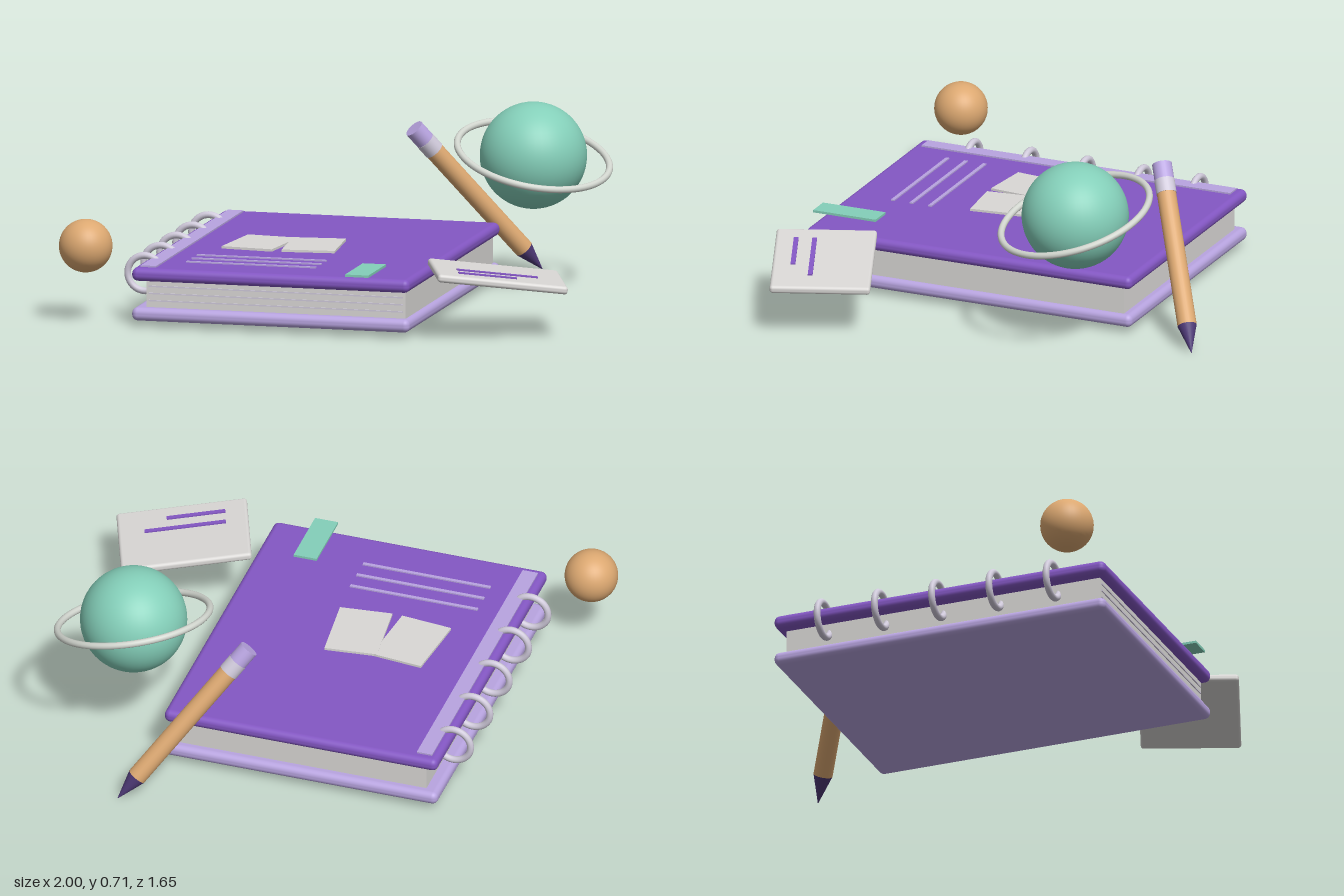
import * as THREE from 'three';
import { RoundedBoxGeometry } from 'three/addons/geometries/RoundedBoxGeometry.js';

const mat = (name, color) => {
  const m = new THREE.MeshStandardMaterial({ color });
  m.name = name;
  return m;
};

export function createModel() {
  const purple = mat('purple', 0x8457c4);
  const lilac = mat('lilac', 0xb8a4e0);
  const paper = mat('paper', 0xdad8d6);
  const teal = mat('teal', 0x84cfb9);
  const orange = mat('orange', 0xdca871);
  const darkViolet = mat('darkViolet', 0x4f3a78);
  const silver = mat('silver', 0xcfc9da);
  const paleGreen = mat('paleGreen', 0xd2d6cf);

  const add = (parent, name, geometry, material, x = 0, y = 0, z = 0) => {
    const mesh = new THREE.Mesh(geometry, material);
    mesh.name = name;
    mesh.position.set(x, y, z);
    parent.add(mesh);
    return mesh;
  };
  const group = (parent, name, x, y, z) => {
    const g = new THREE.Group();
    g.name = name;
    g.position.set(x, y, z);
    parent.add(g);
    return g;
  };
  const box = (w, h, d) => new THREE.BoxGeometry(w, h, d);
  const slab = (w, h, d, r) => new RoundedBoxGeometry(w, h, d, 4, r);

  const model = new THREE.Group();
  model.name = 'stationerySet';

  // Notebook: two covers around a block of pages
  const book = group(model, 'notebook', -0.08, 0, 0);
  book.rotation.y = -THREE.MathUtils.degToRad(10);
  add(book, 'backCover', slab(1.07, 0.05, 1.33, 0.022), lilac, 0, 0.05, 0);
  add(book, 'frontCover', slab(1.07, 0.05, 1.33, 0.022), purple, 0, 0.2, 0);
  add(book, 'pages', box(1.0, 0.11, 1.26), paper, 0.015, 0.125, 0);
  for (const y of [0.1, 0.127, 0.154]) {
    add(book, 'pageEdge', box(0.98, 0.005, 0.006), silver, 0.015, y, 0.631);
  }

  // Binding strip and rings
  add(book, 'bindingStrip', box(0.06, 0.008, 1.26), lilac, -0.477, 0.227, 0);
  for (let i = 0; i < 5; i++) {
    add(book, 'bindingRing', new THREE.TorusGeometry(0.067, 0.013, 12, 40), silver, -0.535, 0.172, -0.46 + 0.23 * i);
  }

  // Cover decoration: open leaves, ruled lines, bookmark
  for (const s of [-1, 1]) {
    const leaf = add(book, 'coverLeaf', box(0.2, 0.009, 0.275), paper, -0.098 + s * 0.104, 0.2325 + s * 0.0005, 0.05);
    leaf.rotation.y = s * 0.105;
  }
  for (let i = 0; i < 3; i++) {
    add(book, 'coverLine', box(0.5, 0.006, 0.014), lilac, -0.118, 0.227, 0.336 + 0.076 * i);
  }
  add(book, 'bookmark', box(0.09, 0.009, 0.255), teal, 0.344, 0.239, 0.569);

  // Ringed planet
  const planet = group(model, 'planet', 0.7, 0.51, -0.385);
  add(planet, 'planetBall', new THREE.SphereGeometry(0.2, 48, 32), teal);
  const ring = add(planet, 'planetRing', new THREE.TorusGeometry(0.288, 0.013, 12, 80), paleGreen);
  ring.quaternion.setFromUnitVectors(
    new THREE.Vector3(0, 0, 1), new THREE.Vector3(0.2, 1, 0.253).normalize());

  // Small ball
  add(model, 'smallBall', new THREE.SphereGeometry(0.1, 40, 28), orange, -0.9, 0.29, 0.46);

  // Pencil, built upward from its point
  const tip = new THREE.Vector3(0.695, 0.003, -0.83);
  const end = new THREE.Vector3(0.235, 0.567, -0.6);
  const axis = end.clone().sub(tip);
  const length = axis.length();
  const pencil = group(model, 'pencil', tip.x, tip.y, tip.z);
  pencil.quaternion.setFromUnitVectors(new THREE.Vector3(0, 1, 0), axis.normalize());
  const barrel = (name, material, from, to, bottom, top) =>
    add(pencil, name, new THREE.CylinderGeometry(top, bottom, to - from, 24), material, 0, (from + to) / 2, 0);
  barrel('pencilPoint', darkViolet, 0, 0.11, 0.001, 0.036);
  barrel('pencilBody', orange, 0.11, length - 0.12, 0.036, 0.036);
  barrel('pencilFerrule', silver, length - 0.12, length - 0.065, 0.038, 0.038);
  barrel('pencilEraser', lilac, length - 0.065, length, 0.037, 0.037);

  // Tilted note card
  const card = group(model, 'noteCard', 0.652, 0.22, 0.595);
  card.rotation.set(0, THREE.MathUtils.degToRad(11), -0.115);
  add(card, 'card', slab(0.49, 0.03, 0.375, 0.012), paper);
  add(card, 'cardLineLong', box(0.305, 0.006, 0.018), purple, -0.008, 0.017, 0.041);
  add(card, 'cardLineShort', box(0.22, 0.006, 0.018), purple, -0.052, 0.017, 0.11);

  return model;
}
